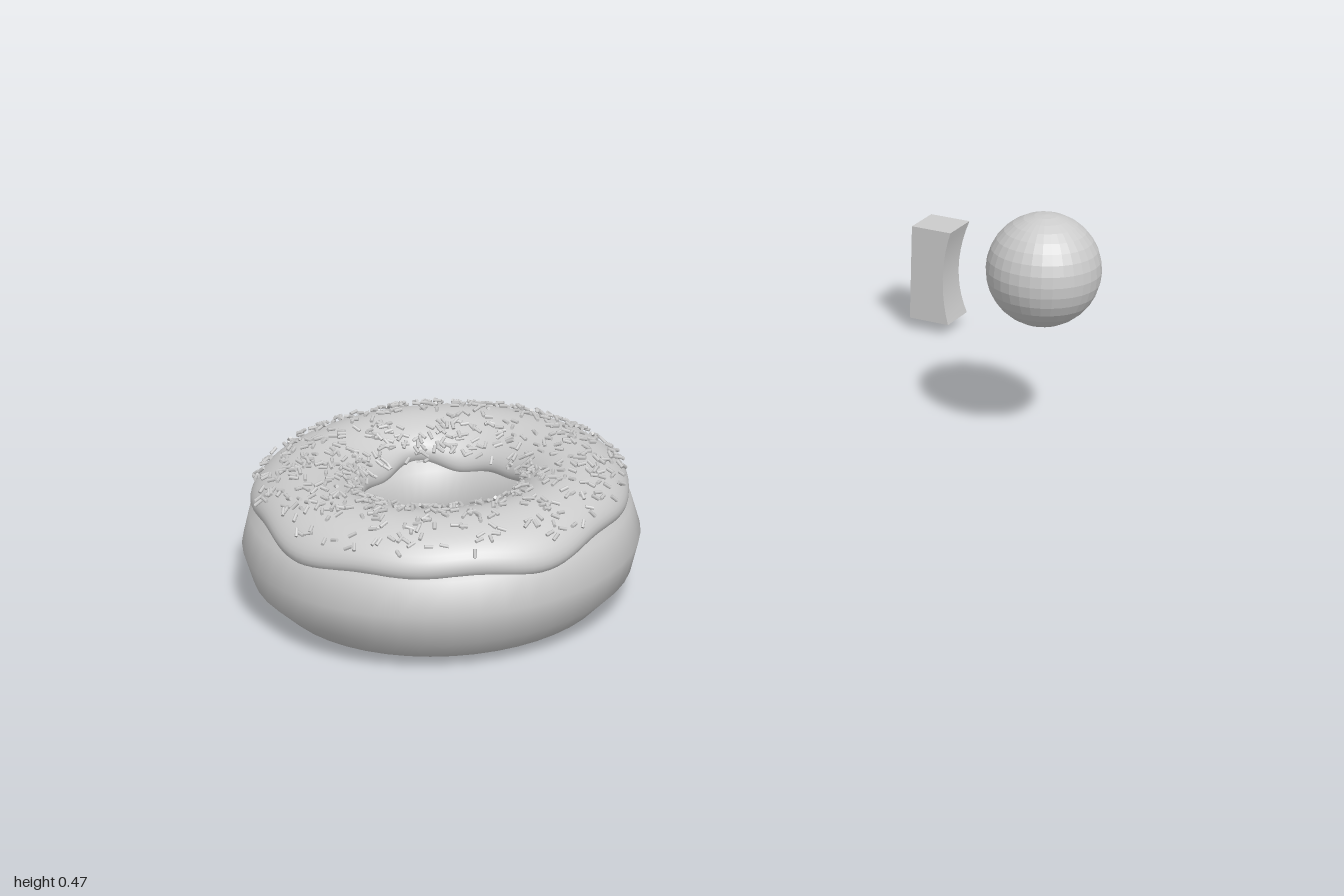
import * as THREE from 'three';
import { mergeGeometries, mergeVertices } from 'three/addons/utils/BufferGeometryUtils.js';

const RING = 0.2335;   // centre line radius of the doughnut
const TUBE = 0.1145;   // dough thickness radius
const rad = THREE.MathUtils.degToRad;

function part(name, geometry, flatShading = false) {
  const mesh = new THREE.Mesh(geometry, new THREE.MeshStandardMaterial({ color: 0xcccccc, flatShading }));
  mesh.name = name;
  return mesh;
}

function seeded(seed) {
  return () => {
    seed = (seed * 16807) % 2147483647;
    return seed / 2147483647;
  };
}

// Moves every vertex of a geometry by a rule.
function reshape(geometry, rule) {
  const pos = geometry.attributes.position;
  const v = new THREE.Vector3();
  for (let i = 0; i < pos.count; i++) {
    rule(v.fromBufferAttribute(pos, i));
    pos.setXYZ(i, v.x, v.y, v.z);
  }
  geometry.computeVertexNormals();
  return geometry;
}

// Point around the doughnut: a = angle round the hole, p = angle round the dough, d = distance from its core.
function ringPoint(a, p, d, target) {
  const r = RING + d * Math.cos(p);
  return target.set(r * Math.cos(a), TUBE + d * Math.sin(p), -r * Math.sin(a));
}

// Wavy outer and inner edges of the icing.
const outerEdge = a => rad(33 + 3.5 * Math.sin(5 * a + 0.6) + 2.5 * Math.sin(9 * a + 2) + 2 * Math.sin(2 * a));
const innerEdge = a => rad(146 + 5 * Math.sin(4 * a + 1) + 3 * Math.sin(7 * a));

// Distance of the icing skin from the core, s = -1..1 from edge to edge.
const icingSkin = s => 0.109 + 0.027 * Math.pow(Math.max(0, 1 - Math.pow(s, 8)), 0.5) - 0.005 * s * s;

function icingGeometry() {
  const grid = new THREE.PlaneGeometry(1, 1, 128, 28);
  grid.deleteAttribute('uv');
  reshape(grid, v => {
    const a = (v.x + 0.5) * Math.PI * 2;
    const s = Math.sin(v.y * Math.PI);          // crowds the rows at the rounded edges
    const p = THREE.MathUtils.lerp(outerEdge(a), innerEdge(a), (s + 1) / 2);
    ringPoint(a, p, icingSkin(s), v);
  });
  grid.deleteAttribute('normal');
  const closed = mergeVertices(grid, 1e-5);
  closed.computeVertexNormals();
  return closed;
}

// Tiny rods scattered over the top of the icing.
function sprinkleGeometry(count) {
  const random = seeded(4711);
  const rod = new THREE.CylinderGeometry(0.0032, 0.0032, 0.015, 6);
  const up = new THREE.Vector3(0, 1, 0);
  const at = new THREE.Vector3();
  const core = new THREE.Vector3();
  const normal = new THREE.Vector3();
  const one = new THREE.Vector3(1, 1, 1);
  const rods = [];
  for (let i = 0; i < count; i++) {
    const a = random() * Math.PI * 2;
    const p = rad(48 + 92 * random());
    const s = 2 * (p - outerEdge(a)) / (innerEdge(a) - outerEdge(a)) - 1;
    ringPoint(a, p, 0, core);
    ringPoint(a, p, icingSkin(s) + 0.003 + 0.005 * random(), at);
    normal.subVectors(at, core).normalize();
    const lay = new THREE.Quaternion().setFromUnitVectors(up, normal);
    const turn = new THREE.Quaternion().setFromEuler(
      new THREE.Euler(0, random() * Math.PI * 2, Math.PI / 2 + (random() - 0.5) * 0.7));
    rods.push(rod.clone().applyMatrix4(new THREE.Matrix4().compose(at, lay.multiply(turn), one)));
  }
  return mergeGeometries(rods);
}

function createDoughnut() {
  const doughnut = new THREE.Group();
  doughnut.name = 'doughnut';
  const dough = part('dough', new THREE.TorusGeometry(RING, TUBE, 12, 48).rotateX(Math.PI / 2));
  dough.position.y = TUBE;
  doughnut.add(dough, part('icing', icingGeometry()), part('sprinkles', sprinkleGeometry(850)));
  return doughnut;
}

// Upright block whose left and back faces bow inwards.
function createBlock() {
  const w = 0.09, h = 0.205;
  const geometry = reshape(new THREE.BoxGeometry(w, h, w, 1, 10, 1), v => {
    const bow = 0.015 * (1 - Math.pow(2 * v.y / h, 2));
    if (v.x > 0) v.x -= bow;
    if (v.z < 0) v.z += bow;
  });
  return part('curvedBlock', geometry);
}

export function createModel() {
  const model = new THREE.Group();
  model.name = 'doughnutScene';

  const doughnut = createDoughnut();
  doughnut.position.set(-0.193, 0, 0.652);

  const ball = part('ball', new THREE.SphereGeometry(0.111, 32, 16), true);
  ball.position.set(0.428, 0.361, -0.48);

  const block = createBlock();
  block.position.set(-0.027, 0.128, -0.955);

  model.add(doughnut, ball, block);
  return model;
}
